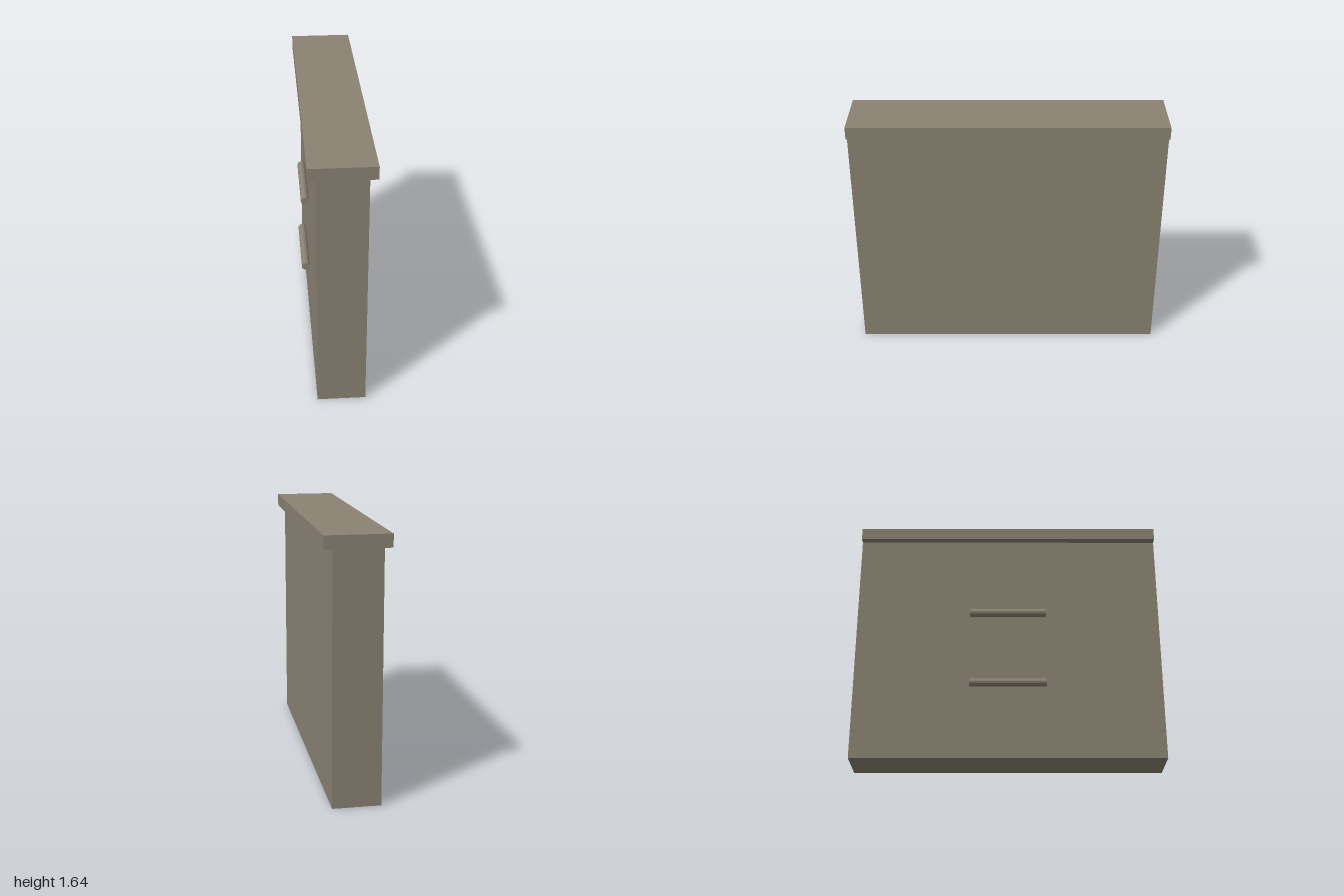
import * as THREE from 'three';

export function createModel() {
  const group = new THREE.Group();
  const stone = new THREE.MeshStandardMaterial({ color: 0x8a8272, flatShading: true });
  stone.name = 'warm grey stone';

  const add = (name, geometry, x, y) => {
    const mesh = new THREE.Mesh(geometry, stone);
    mesh.name = name;
    mesh.position.set(x, y, 0);
    group.add(mesh);
    return mesh;
  };

  // Wall slab with an overhanging cap
  add('wall', new THREE.BoxGeometry(0.3, 1.56, 2), 0.0025, 0.78);
  add('cap', new THREE.BoxGeometry(0.4, 0.08, 2), 0.0025, 1.6);

  // Two horizontal rails on the right-hand face
  const rail = new THREE.CylinderGeometry(0.026, 0.026, 0.5, 12).rotateX(Math.PI / 2);
  [['lowerRail', 0.5], ['upperRail', 1]].forEach(([name, y]) => add(name, rail, -0.1775, y));

  return group;
}
